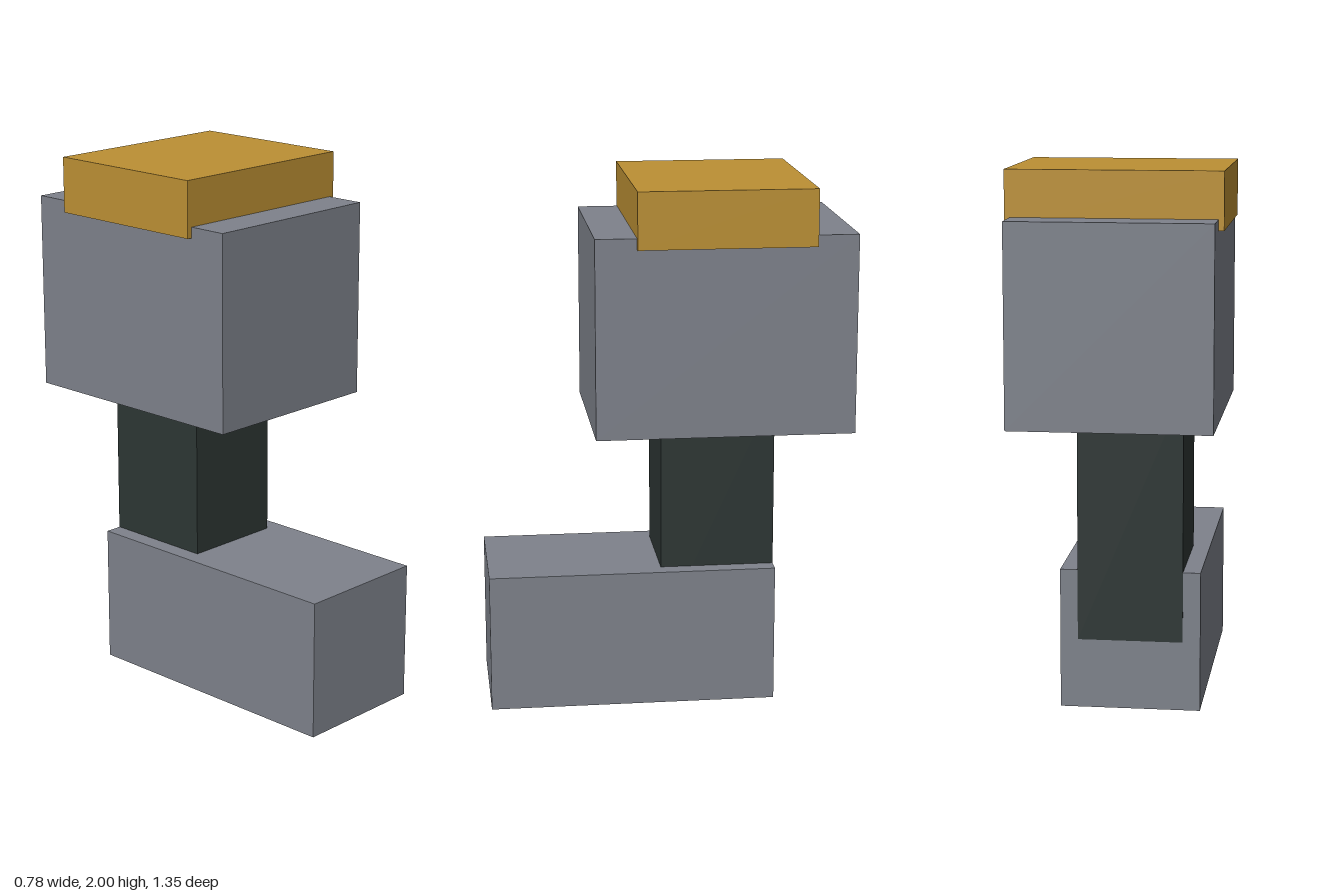
import * as THREE from 'three';

const mat = (name, color) => {
  const m = new THREE.MeshStandardMaterial({ color });
  m.name = name;
  return m;
};

// Box given by its [min, max] extent on each axis
function block(name, [x0, x1], [y0, y1], [z0, z1], material) {
  const mesh = new THREE.Mesh(new THREE.BoxGeometry(x1 - x0, y1 - y0, z1 - z0), material);
  mesh.name = name;
  mesh.position.set((x0 + x1) / 2, (y0 + y1) / 2, (z0 + z1) / 2);
  return mesh;
}

export function createModel() {
  const gray = mat('steel gray', 0x7e828b);
  const dark = mat('dark green gray', 0x2d3634);
  const gold = mat('gold', 0xbc9034);

  const group = new THREE.Group();
  group.name = 'blockLeg';
  group.add(
    // foot reaching forward
    block('foot', [-0.305, 0.215], [0, 0.525], [-0.41, 0.675], gray),
    // shin sunk into the foot, just showing through its back face
    block('shin', [-0.24, 0.15], [0.26, 1.2], [-0.411, 0.02], dark),
    // large upper block
    block('upperBlock', [-0.37, 0.37], [1.09, 1.83], [-0.675, 0.282], gray),
    // slightly wider cap on top
    block('cap', [-0.39, 0.39], [1.79, 2], [-0.522, 0.13], gold),
  );
  return group;
}
